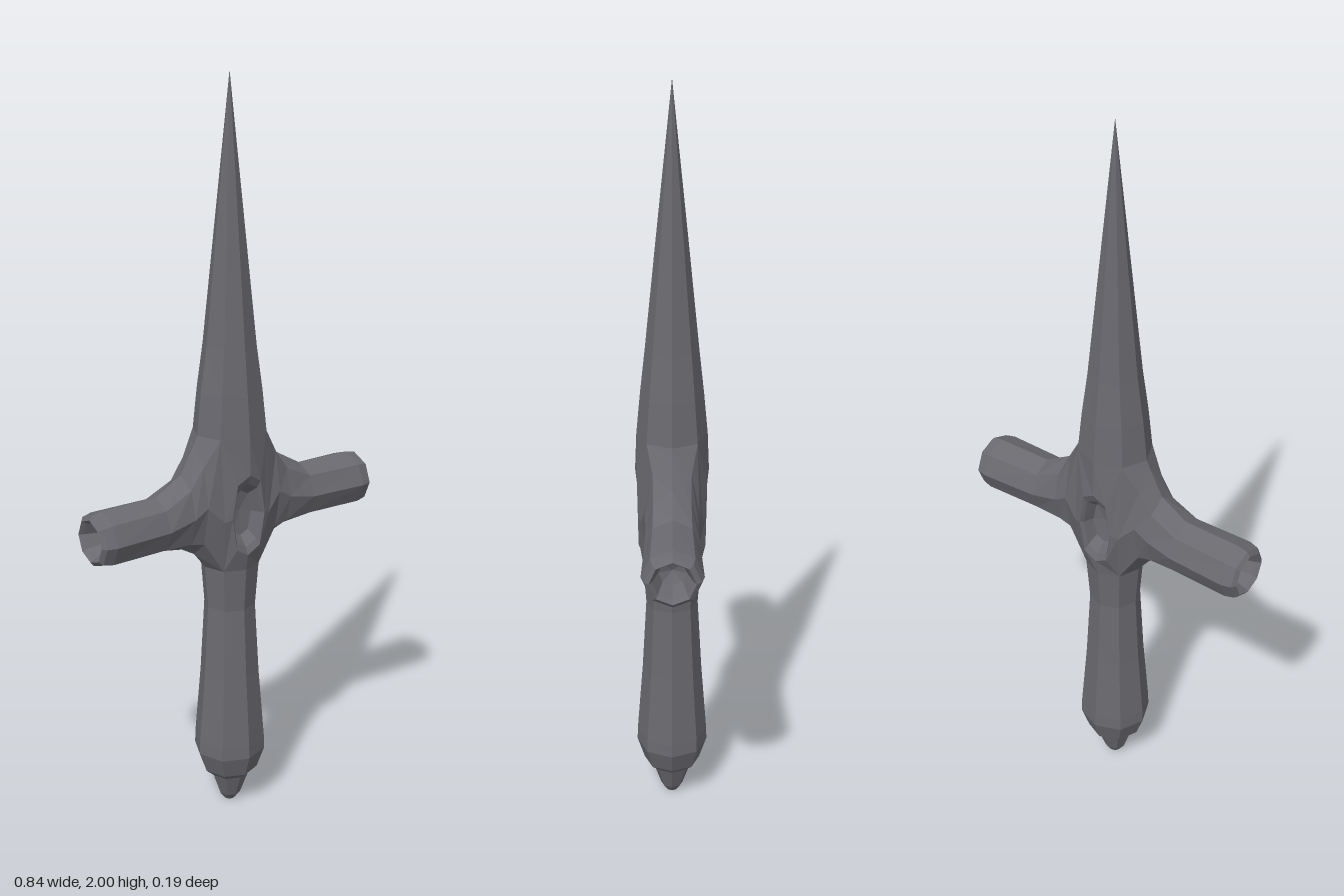
import * as THREE from 'three';

const SIDES = 8;
const K = Math.SQRT1_2;
const COS = [1, K, 0, -K, -1, -K, 0, K];
const SIN = [0, K, 1, K, 0, -K, -1, -K];

const material = new THREE.MeshStandardMaterial({ color: 0x69696f, flatShading: true });

// Skins consecutive eight-point rings
function skin(name, rings) {
  const pos = [];
  for (let r = 0; r < rings.length - 1; r++) {
    const a = rings[r], b = rings[r + 1];
    for (let i = 0; i < SIDES; i++) {
      const j = (i + 1) % SIDES;
      pos.push(...a[i], ...b[i], ...b[j], ...a[i], ...b[j], ...a[j]);
    }
  }
  const geometry = new THREE.BufferGeometry();
  geometry.setAttribute('position', new THREE.Float32BufferAttribute(pos, 3));
  geometry.computeVertexNormals();
  const mesh = new THREE.Mesh(geometry, material);
  mesh.name = name;
  return mesh;
}

const uprightRing = ([y, rx, rz]) => COS.map((c, i) => [rx * c, y, rz * SIN[i]]);
const armRing = ([x, top, bottom, rz]) =>
  COS.map((c, i) => [x, (top + bottom) / 2 + ((top - bottom) / 2) * c, -rz * SIN[i]]);

// Clockwise oval on the front face: top, bottom, half width, depth at top, side and bottom
const ovalRing = ([top, bottom, w, zTop, zSide, zBottom]) => COS.map((c, i) => {
  const zEnd = c > 0 ? zTop : zBottom;
  return [
    w * SIN[i],
    (top + bottom) / 2 + ((top - bottom) / 2) * (i % 2 ? Math.sign(c) * 0.8 : c),
    zEnd + (zSide - zEnd) * Math.abs(SIN[i]),
  ];
});

export function createModel() {
  const model = new THREE.Group();
  model.name = 'dagger';

  // Pommel and grip, then blade: y, half width, half depth
  const gripRings = [
    [0, 0, 0], [0, 0.015, 0.015], [0.02, 0.03, 0.03], [0.085, 0.053, 0.053],
    [0.105, 0.076, 0.076], [0.165, 0.098, 0.096], [0.2, 0.097, 0.095],
    [0.4, 0.08, 0.08], [0.6, 0.069, 0.069], [0.72, 0.078, 0.078],
  ].map(uprightRing);
  const bladeRings = [
    [1.09, 0.1, 0.092], [1.2, 0.088, 0.082], [1.32, 0.07, 0.069],
    [1.6, 0.041, 0.041], [2, 0, 0],
  ].map(uprightRing);
  model.add(skin('grip', gripRings), skin('blade', bladeRings));

  // The hub between them has four openings that share these corner points
  const low = gripRings.at(-1);
  const mid = uprightRing([0.87, 0.098, 0.115]);
  const high = bladeRings[0];

  // Oval socket of the front and back openings
  const socketRings = [
    [high[2], high[1], mid[1], low[1], low[2], low[3], mid[3], high[3]],
    ...[
      [0.99, 0.765, 0.05, 0.096, 0.089, 0.085],
      [0.965, 0.785, 0.043, 0.085, 0.08, 0.076],
      [0.935, 0.81, 0.033, 0.052, 0.05, 0.05],
      [0.88, 0.88, 0, 0.044, 0.044, 0.044],
    ].map(ovalRing),
  ];

  // Crossguard arm growing from a side opening, with a hollow end: x, top, bottom, half depth
  const armRings = [
    [high[0], high[7], mid[7], low[7], low[0], low[1], mid[1], high[1]],
    ...[
      [0.112, 1.065, 0.765, 0.07], [0.15, 0.995, 0.787, 0.068],
      [0.225, 0.95, 0.8, 0.071], [0.385, 0.948, 0.8, 0.078], [0.412, 0.942, 0.806, 0.071],
      [0.421, 0.931, 0.817, 0.058], [0.41, 0.924, 0.824, 0.051],
      [0.36, 0.909, 0.839, 0.035], [0.345, 0.874, 0.874, 0],
    ].map(armRing),
  ];

  for (const [turn, face, side] of [[0, 'front', 'left'], [Math.PI, 'back', 'right']]) {
    const socket = skin(face + 'Socket', socketRings);
    const arm = skin(side + 'GuardArm', armRings);
    socket.rotation.y = arm.rotation.y = turn;
    model.add(socket, arm);
  }
  return model;
}
